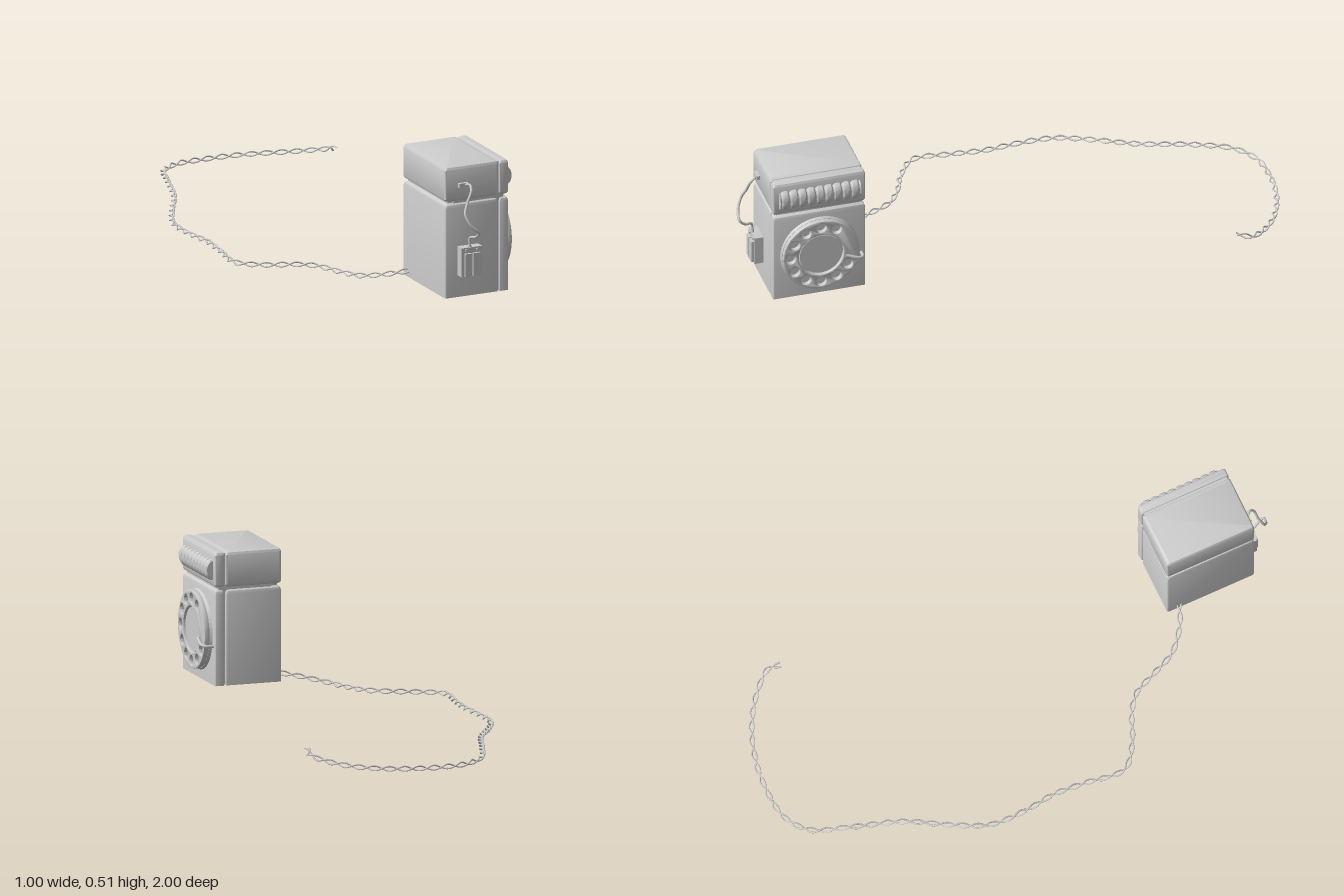
import * as THREE from 'three';
import { toCreasedNormals } from 'three/addons/utils/BufferGeometryUtils.js';

const grey = new THREE.MeshStandardMaterial({ color: 0xcccccc, side: THREE.DoubleSide });

function add(parent, name, geometry, x = 0, y = 0, z = 0) {
  const mesh = new THREE.Mesh(geometry, grey);
  mesh.name = name;
  mesh.position.set(x, y, z);
  parent.add(mesh);
  return mesh;
}

// Upright block: rounded-rectangle sections [y, inset] stacked upward and capped.
function stackedBlock(w, d, radius, sections) {
  const pos = [], idx = [], perCorner = 4, n = perCorner * 4;
  for (const [y, inset] of sections) {
    for (let c = 0; c < 4; c++) {
      const sx = c === 0 || c === 3 ? 1 : -1, sz = c < 2 ? 1 : -1;
      for (let k = 0; k < perCorner; k++) {
        const a = (c + k / (perCorner - 1)) * Math.PI / 2;
        pos.push(sx * (w / 2 - inset - radius) + radius * Math.cos(a), y,
          sz * (d / 2 - inset - radius) + radius * Math.sin(a));
      }
    }
  }
  for (let s = 0; s < sections.length - 1; s++) {
    for (let i = 0; i < n; i++) {
      const a = s * n + i, b = s * n + (i + 1) % n;
      idx.push(a, a + n, b, b, a + n, b + n);
    }
  }
  const top = (sections.length - 1) * n;
  for (let i = 1; i < n - 1; i++) idx.push(0, i, i + 1, top, top + i + 1, top + i);
  const g = new THREE.BufferGeometry();
  g.setAttribute('position', new THREE.Float32BufferAttribute(pos, 3));
  g.setIndex(idx);
  return toCreasedNormals(g, 0.5);
}

function path(points) {
  return new THREE.CatmullRomCurve3(points.map(p => new THREE.Vector3(...p)));
}

// One strand winding round a centre line.
class Strand extends THREE.Curve {
  constructor(base, turns, radius, phase) {
    super();
    Object.assign(this, { base, turns, radius, phase });
  }
  getPoint(t, target = new THREE.Vector3()) {
    const p = this.base.getPointAt(t), tan = this.base.getTangentAt(t);
    const side = new THREE.Vector3(-tan.z, 0, tan.x).normalize();
    const a = t * this.turns * Math.PI * 2 + this.phase;
    return target.copy(p).addScaledVector(side, this.radius * Math.cos(a))
      .add(new THREE.Vector3(0, this.radius * Math.sin(a), 0));
  }
}

function createDial() {
  const dial = new THREE.Group();
  dial.name = 'dial';
  const base = add(dial, 'dialBase', new THREE.CylinderGeometry(0.144, 0.149, 0.012, 48), 0, 0, 0.004);
  base.rotation.x = Math.PI / 2;

  // Finger ring with ten holes
  const ring = new THREE.Shape().absarc(0, 0, 0.141, 0, Math.PI * 2);
  ring.holes.push(new THREE.Path().absarc(0, 0, 0.088, 0, Math.PI * 2, true));
  for (let i = 0; i < 10; i++) {
    const a = (60 + i * 30) * Math.PI / 180;
    ring.holes.push(new THREE.Path().absarc(0.115 * Math.cos(a), 0.115 * Math.sin(a), 0.022, 0, Math.PI * 2, true));
  }
  add(dial, 'fingerRing', toCreasedNormals(new THREE.ExtrudeGeometry(ring, {
    depth: 0.014, bevelThickness: 0.003, bevelSize: 0.003, bevelSegments: 2, curveSegments: 20,
  }), 0.6), 0, 0, 0.012);

  const centre = add(dial, 'dialCentre', new THREE.CylinderGeometry(0.08, 0.086, 0.014, 40), 0, 0, 0.015);
  centre.rotation.x = Math.PI / 2;

  // Finger stop hooked over the ring
  add(dial, 'fingerStop', new THREE.TubeGeometry(path([
    [0.158, -0.035, 0], [0.155, -0.033, 0.03], [0.14, -0.03, 0.04], [0.09, -0.014, 0.036],
  ]), 16, 0.006, 8));
  return dial;
}

export function createModel() {
  const model = new THREE.Group();
  model.name = 'wallTelephone';

  // Telephone body, turned so its dial looks along +x
  const phone = new THREE.Group();
  phone.name = 'telephone';
  phone.position.set(0.315, 0, 0.735);
  phone.rotation.y = 1.772;
  model.add(phone);

  // Case: main block and front plate share the waisted outline
  const sections = [
    [0.018, 0], [0.355, 0], [0.366, 0.003], [0.373, 0.012], [0.379, 0.012],
    [0.384, 0.003], [0.39, 0], [0.5, 0], [0.508, 0.004], [0.511, 0.011],
  ];
  add(phone, 'case', stackedBlock(0.348, 0.215, 0.008, sections), 0, 0, -0.021);
  add(phone, 'frontPlate', stackedBlock(0.348, 0.037, 0.006, sections), 0, 0, 0.109);
  add(phone, 'core', new THREE.BoxGeometry(0.33, 0.485, 0.2), 0, 0.2625, 0.01);

  const dial = createDial();
  dial.position.set(0, 0.197, 0.1275);
  phone.add(dial);

  // Ribbed rounded grille above the dial
  const profile = [new THREE.Vector2(0, -0.152), new THREE.Vector2(0.034, -0.152)];
  const ribs = 9, pitch = 0.296 / ribs;
  for (let i = 0; i < ribs; i++) {
    const x = -0.148 + i * pitch;
    for (const [f, r] of [[0.04, 0.031], [0.2, 0.037], [0.5, 0.039], [0.8, 0.037], [0.96, 0.031]]) {
      profile.push(new THREE.Vector2(r, x + f * pitch));
    }
  }
  profile.push(new THREE.Vector2(0.034, 0.152), new THREE.Vector2(0, 0.152));
  const grille = add(phone, 'grille',
    toCreasedNormals(new THREE.LatheGeometry(profile, 24), 0.6), 0, 0.442, 0.1265);
  grille.rotation.z = Math.PI / 2;
  grille.scale.z = 0.7;

  // Junction box and socket on the side
  const box = new THREE.Group();
  box.name = 'junctionBox';
  box.position.set(-0.174, 0.155, -0.037);
  phone.add(box);
  add(box, 'boxBase', new THREE.BoxGeometry(0.034, 0.11, 0.082), -0.016, 0, 0);
  for (const s of [-1, 1]) {
    add(box, 'boxPanel', new THREE.BoxGeometry(0.014, 0.086, 0.028), -0.036, -0.009, s * 0.0165);
    add(box, 'boxScrew', new THREE.BoxGeometry(0.006, 0.008, 0.012), -0.035, 0.045, s * 0.022);
  }
  add(phone, 'socket', new THREE.BoxGeometry(0.014, 0.016, 0.038), -0.179, 0.44, -0.058);

  // Short lead from socket to junction box
  add(model, 'lead', new THREE.TubeGeometry(path([
    [0.295, 0.44, 0.92], [0.315, 0.442, 0.935], [0.317, 0.425, 0.95], [0.3, 0.385, 0.962],
    [0.287, 0.345, 0.98], [0.305, 0.305, 0.993], [0.335, 0.275, 0.99], [0.33, 0.255, 0.97],
    [0.313, 0.245, 0.946], [0.315, 0.205, 0.94],
  ]), 80, 0.005, 8), 0, 0, 0);

  // Long twisted cord trailing behind
  const cordLine = path([
    [0.17, 0.044, 0.637], [0.09, 0.031, 0.62], [0, 0.017, 0.57], [-0.06, 0.014, 0.49],
    [-0.12, 0.016, 0.41], [-0.19, 0.017, 0.375], [-0.3, 0.016, 0.35], [-0.395, 0.018, 0.3],
    [-0.415, 0.02, 0.15], [-0.43, 0.02, 0.03], [-0.465, 0.018, -0.08], [-0.49, 0.018, -0.22],
    [-0.46, 0.022, -0.36], [-0.41, 0.028, -0.52], [-0.385, 0.03, -0.72], [-0.36, 0.022, -0.86],
    [-0.29, 0.018, -0.94], [-0.2, 0.016, -0.973], [-0.08, 0.017, -0.99], [0.04, 0.02, -0.982],
    [0.14, 0.027, -0.953], [0.22, 0.04, -0.91], [0.265, 0.053, -0.87], [0.268, 0.068, -0.82],
  ]);
  for (const phase of [0, Math.PI]) {
    add(model, 'cordStrand', new THREE.TubeGeometry(new Strand(cordLine, 24, 0.008, phase), 600, 0.003, 6));
  }
  return model;
}
